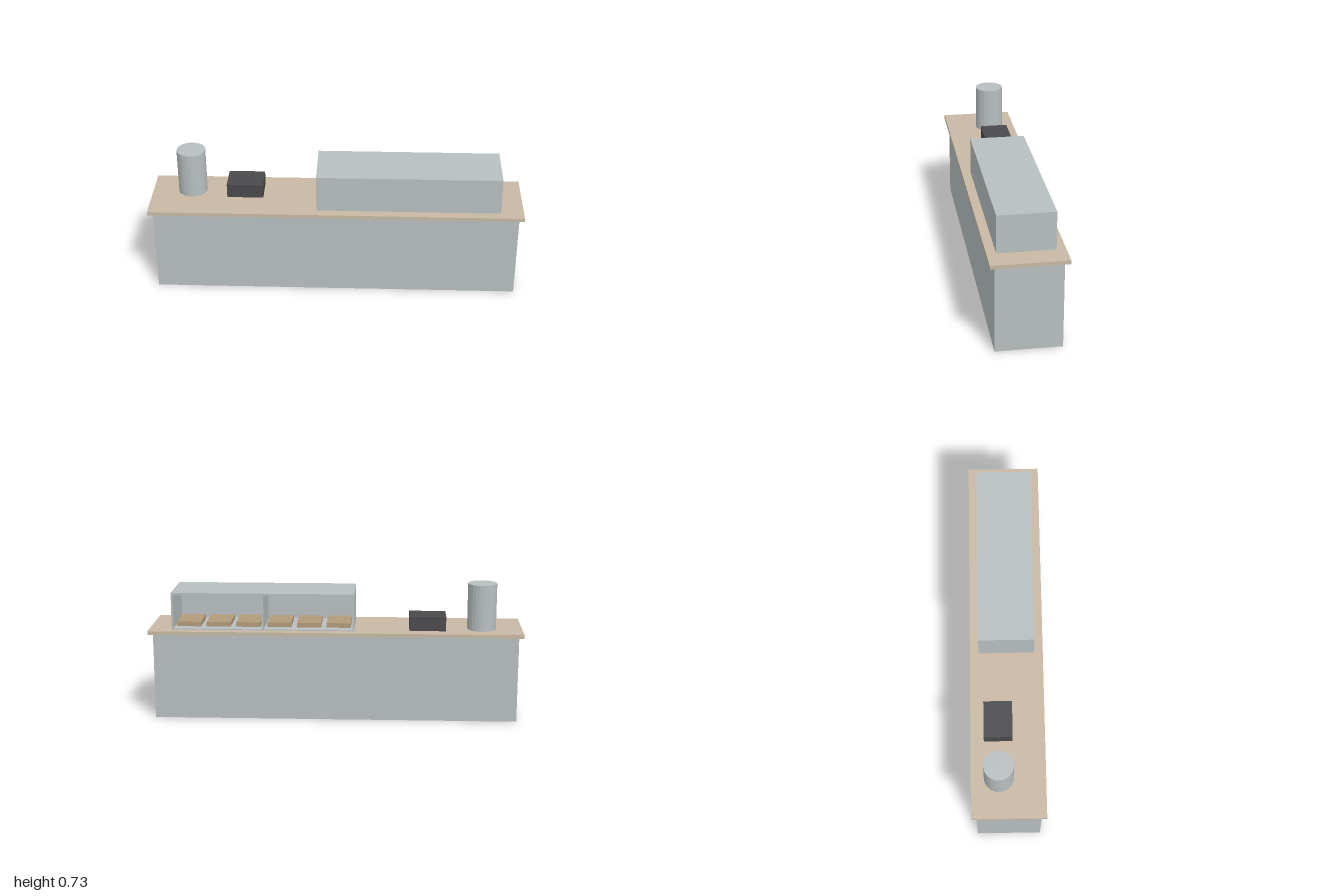
import * as THREE from 'three';

export function createModel() {
  const model = new THREE.Group();
  model.name = 'serviceCounter';

  const material = (name, color, flatShading = false) => {
    const m = new THREE.MeshStandardMaterial({ color });
    m.name = name;
    m.flatShading = flatShading;
    return m;
  };
  const steel = material('paleSteel', 0xb8bfc0, true);
  const stone = material('beigeWorktop', 0xc8b9a3);
  const dark = material('darkGrey', 0x4a4a4c);
  const tan = material('tanTray', 0xb39b7a);

  // Box given by its extents along each axis
  const box = (name, mat, [x0, x1], [y0, y1], [z0, z1], parent = model) => {
    const mesh = new THREE.Mesh(new THREE.BoxGeometry(x1 - x0, y1 - y0, z1 - z0), mat);
    mesh.position.set((x0 + x1) / 2, (y0 + y1) / 2, (z0 + z1) / 2);
    mesh.name = name;
    parent.add(mesh);
    return mesh;
  };

  // Base cabinet and overhanging worktop
  box('cabinet', steel, [-0.975, 0.975], [0, 0.465], [-0.17, 0.17]);
  box('worktop', stone, [-1, 1], [0.465, 0.485], [-0.195, 0.195]);

  // Display case, open at the back
  const display = new THREE.Group();
  display.name = 'displayCase';
  model.add(display);
  const left = 0.877, right = -0.102, mid = (left + right) / 2;
  const depth = 0.147, floor = 0.49, roof = 0.685, t = 0.01;
  box('caseFloor', steel, [right, left], [0.485, floor], [-depth, depth], display);
  box('caseRoof', steel, [right, left], [roof - t, roof], [-depth, depth], display);
  box('caseFront', steel, [right + t, left - t], [floor, roof - t], [depth - t, depth], display);
  box('caseSideLeft', steel, [left - t, left], [floor, roof - t], [-depth, depth], display);
  box('caseSideRight', steel, [right, right + t], [floor, roof - t], [-depth, depth], display);
  box('caseDivider', steel, [mid - t / 2, mid + t / 2], [floor, roof - t], [-depth, depth - t], display);

  // Three trays in each half of the case
  for (const half of [-1, 1]) {
    for (let i = -1; i <= 1; i++) {
      const x = mid + half * 0.244 + i * 0.16;
      box('tray', tan, [x - 0.065, x + 0.065], [floor, floor + 0.025], [-0.09, 0.095], display);
    }
  }

  // Till and round urn on the worktop
  box('till', dark, [-0.59, -0.395], [0.485, 0.562], [-0.125, 0.025]);
  const urn = new THREE.Mesh(new THREE.CylinderGeometry(0.0775, 0.0775, 0.248, 24), steel);
  urn.position.set(-0.783, 0.609, -0.05);
  urn.name = 'urn';
  model.add(urn);

  return model;
}
